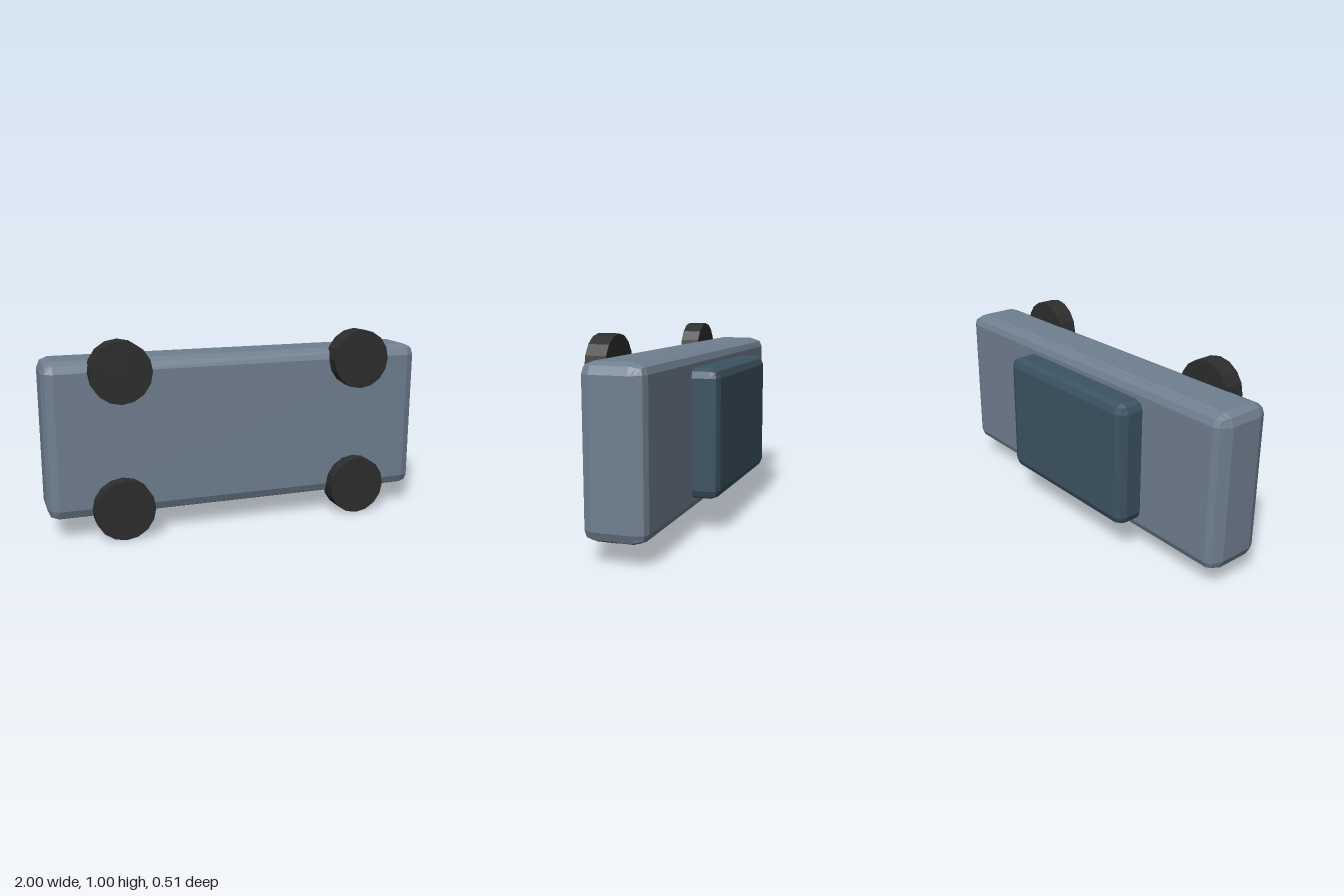
import * as THREE from 'three';
import { RoundedBoxGeometry } from 'three/addons/geometries/RoundedBoxGeometry.js';

export function createModel() {
  const group = new THREE.Group();
  const mat = (name, color) => {
    const m = new THREE.MeshStandardMaterial({ color, flatShading: true });
    m.name = name;
    return m;
  };
  const slate = mat('slate body', 0x708090);
  const glass = mat('dark blue cabin', 0x3c5362);
  const rubber = mat('black tyre', 0x2d2d2d);

  // Bevelled box given by its minimum and maximum corners
  const bevelBox = (name, material, min, max, radius) => {
    const size = max.map((v, i) => v - min[i]);
    const mesh = new THREE.Mesh(new RoundedBoxGeometry(...size, 1, radius), material);
    mesh.position.set(...max.map((v, i) => (v + min[i]) / 2));
    mesh.name = name;
    group.add(mesh);
  };

  // The car rests on its side: wheels face +z, roof faces -z
  bevelBox('body', slate, [-1, 0.103, -0.104], [1, 0.895, 0.186], 0.055);
  bevelBox('upperBody', slate, [-0.99, 0.111, -0.12], [0.99, 0.887, 0.12], 0.045);
  bevelBox('cabin', glass, [-0.505, 0.176, -0.254], [0.405, 0.82, 0], 0.046);

  // Four wheels
  const wheelGeometry = new THREE.CylinderGeometry(0.153, 0.153, 0.103, 16).rotateX(Math.PI / 2);
  for (const x of [-0.633, 0.633]) {
    for (const y of [0.153, 0.842]) {
      const wheel = new THREE.Mesh(wheelGeometry, rubber);
      wheel.position.set(x, y, 0.203);
      wheel.name = 'wheel';
      group.add(wheel);
    }
  }
  return group;
}
